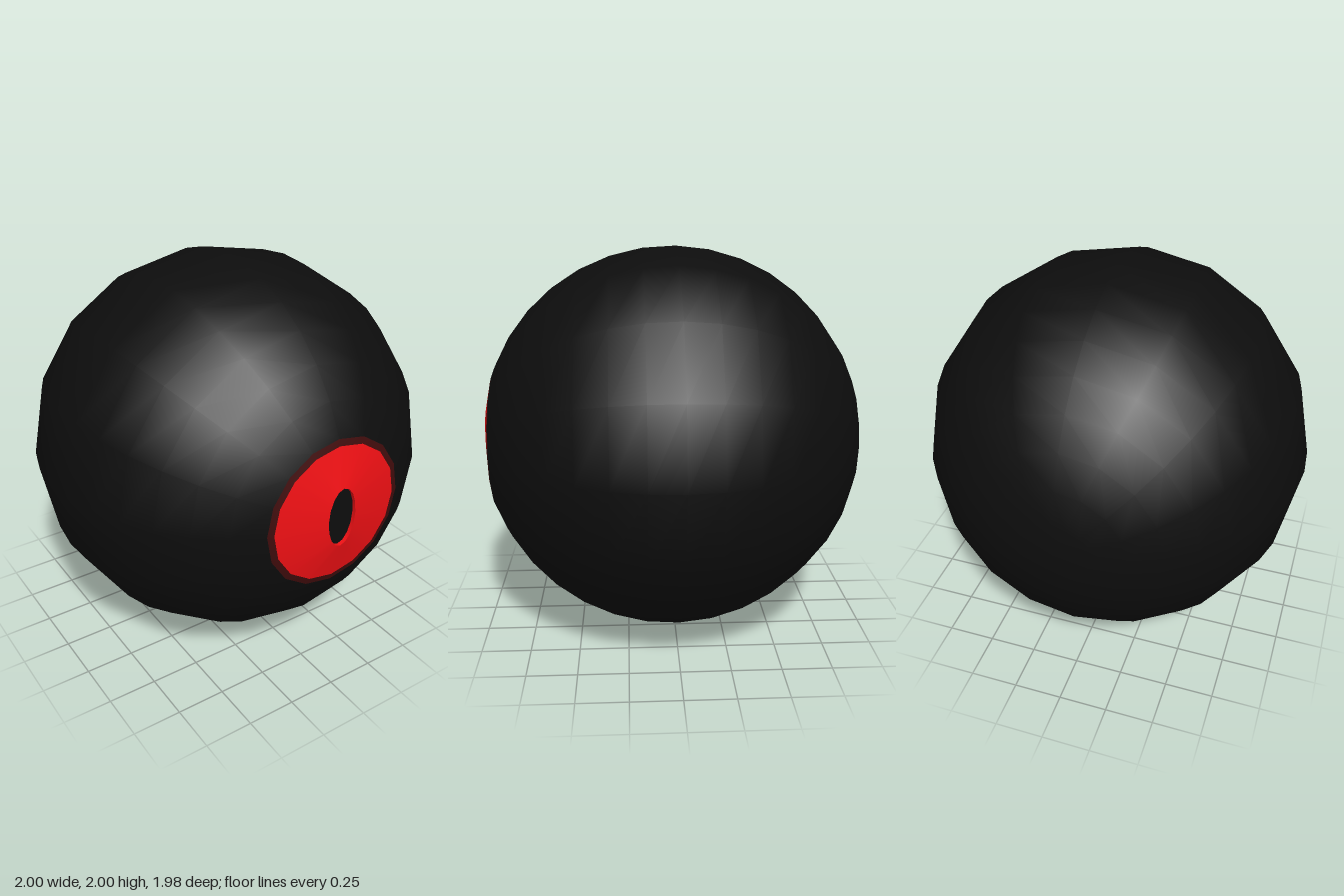
import * as THREE from 'three';

const SIDES = 16;
const CENTER_Z = 0.01;

// Surface lofted through ellipses [rx, ry, z], facing +z when going inward and forward
function loft(rings) {
  const positions = [], index = [];
  for (const [rx, ry, z] of rings) {
    for (let i = 0; i < SIDES; i++) {
      const a = (i / SIDES) * Math.PI * 2;
      positions.push(rx * Math.cos(a), ry * Math.sin(a), z);
    }
  }
  for (let r = 0; r < rings.length - 1; r++) {
    for (let i = 0; i < SIDES; i++) {
      const j = (i + 1) % SIDES;
      const a = r * SIDES + i, b = r * SIDES + j;
      const c = a + SIDES, d = b + SIDES;
      index.push(a, b, d, a, d, c);
    }
  }
  const geometry = new THREE.BufferGeometry();
  geometry.setAttribute('position', new THREE.Float32BufferAttribute(positions, 3));
  geometry.setIndex(index);
  geometry.computeVertexNormals();
  return geometry;
}

export function createModel() {
  const model = new THREE.Group();
  const add = (name, geometry, color) => {
    const material = new THREE.MeshStandardMaterial({ color, side: THREE.DoubleSide });
    const mesh = new THREE.Mesh(geometry, material);
    mesh.name = name;
    mesh.position.set(0, 1, CENTER_Z);
    model.add(mesh);
  };

  // Eyeball with its poles on the z axis, open at the front where the iris sits
  const opening = Math.PI / 8;
  const ball = new THREE.SphereGeometry(1, SIDES, 16, 0, Math.PI * 2, opening, Math.PI - opening);
  ball.rotateX(Math.PI / 2);
  add('eyeball', ball, 0x0d0d0d);

  // Dark border and shallow cone of the iris
  const outer = [Math.sin(opening), Math.sin(opening), Math.cos(opening)];
  const inner = [0.35, 0.35, 0.933];
  const slit = [0.078, 0.155, 0.981];
  const recess = [0.078, 0.155, 0.961];
  add('irisBorder', loft([outer, inner]), 0x400c0c);
  add('iris', loft([inner, slit]), 0xf01014);

  // Slit pupil set slightly behind the iris
  add('pupilWall', loft([slit, recess]), 0xf01014);
  const pupil = new THREE.CircleGeometry(1, SIDES);
  pupil.scale(recess[0], recess[1], 1);
  pupil.translate(0, 0, recess[2]);
  add('pupil', pupil, 0x0d0d0d);

  return model;
}
